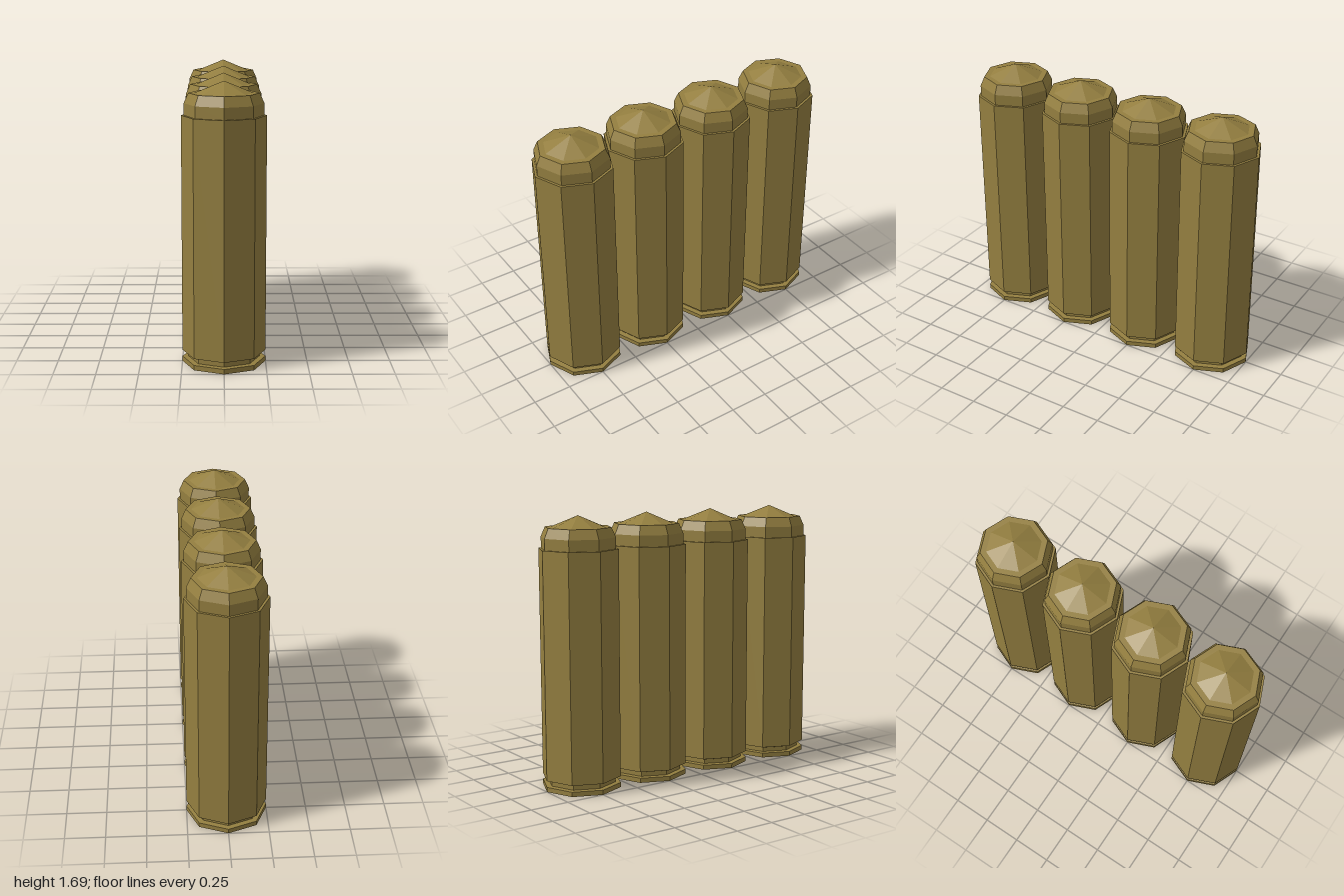
import * as THREE from 'three';

const SIDES = 8;

// Flat-faced octagonal turning from [radius, height] pairs, bottom to top
function turned(name, profile, material) {
  const points = profile.map(([r, y]) => new THREE.Vector2(r, y));
  const mesh = new THREE.Mesh(new THREE.LatheGeometry(points, SIDES), material);
  mesh.name = name;
  return mesh;
}

function createRound(brass) {
  const round = new THREE.Group();
  // closed base disc with its rim
  round.add(turned('baseRim', [[0, 0], [0.25, 0], [0.25, 0.03], [0.215, 0.032]], brass));
  // narrow extractor groove
  round.add(turned('groove', [[0.215, 0.032], [0.215, 0.06], [0.225, 0.068]], brass));
  // long casing with a thin ledge at the mouth
  round.add(turned('casing', [[0.225, 0.068], [0.25, 0.07], [0.25, 1.49], [0.234, 1.49]], brass));
  // bevelled head with a low pointed tip
  round.add(turned('head', [[0.234, 1.49], [0.234, 1.56], [0.207, 1.62], [0.17, 1.62], [0, 1.69]], brass));
  return round;
}

export function createModel() {
  const brass = new THREE.MeshStandardMaterial({ color: 0x947f40, flatShading: true });
  brass.name = 'brass';

  // row of four along z
  const model = new THREE.Group();
  model.name = 'cartridgeRow';
  for (let i = 0; i < 4; i++) {
    const round = createRound(brass);
    round.name = `cartridge${i + 1}`;
    round.position.z = 0.75 - i * 0.5;
    model.add(round);
  }
  return model;
}
